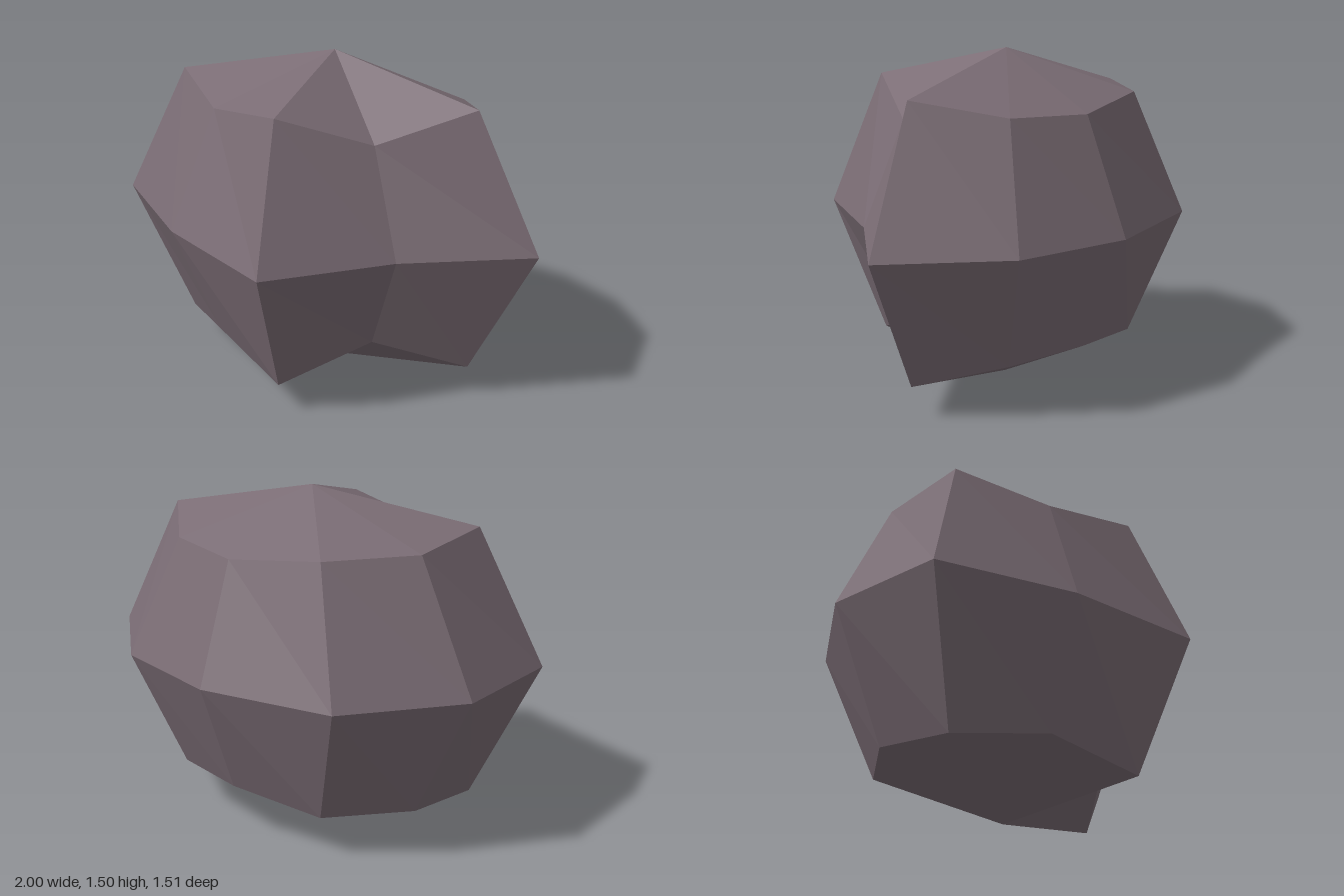
import * as THREE from 'three';

// One entry per column, going round from -x through +z to +x:
// equator x, z, then shoulder ring x, z and its height above the equator.
const COLUMNS = [
  [-1.0, 0.2, -0.725, 0.1, 0.605],
  [-0.47, 0.54, -0.36, 0.35, 0.535],
  [0.155, 0.755, 0.08, 0.515, 0.61],
  [0.53, 0.29, 0.36, 0.195, 0.457],
  [1.0, -0.09, 0.7, -0.07, 0.6],
  [0.635, -0.55, 0.46, -0.4, 0.523],
  [0.12, -0.76, 0.1, -0.56, 0.507],
  [-0.49, -0.75, -0.335, -0.565, 0.553],
  [-0.91, -0.355, -0.645, -0.295, 0.56],
];
const MID = 0.75;
const POLE = [-0.025, -0.09];

export function createModel() {
  const stone = new THREE.MeshStandardMaterial({ color: 0x7a6c74, flatShading: true });
  stone.name = 'stone grey';

  // Coarse sphere whose rings are pulled to an uneven outline, mirrored above and below
  const n = COLUMNS.length;
  const sphere = new THREE.SphereGeometry(1, n, 4);
  const pos = sphere.attributes.position;
  for (let row = 0; row <= 4; row++) {
    for (let col = 0; col <= n; col++) {
      const [ex, ez, rx, rz, h] = COLUMNS[col % n];
      const i = row * (n + 1) + col;
      if (row === 0 || row === 4) pos.setXYZ(i, POLE[0], row === 0 ? 2 * MID : 0, POLE[1]);
      else if (row === 2) pos.setXYZ(i, ex, MID, ez);
      else pos.setXYZ(i, rx, row === 1 ? MID + h : MID - h, rz);
    }
  }

  // Separate the facets so each has its own flat normal
  const geometry = sphere.toNonIndexed();
  geometry.computeVertexNormals();

  const boulder = new THREE.Mesh(geometry, stone);
  boulder.name = 'boulder';
  const group = new THREE.Group();
  group.name = 'rock';
  group.add(boulder);
  return group;
}
